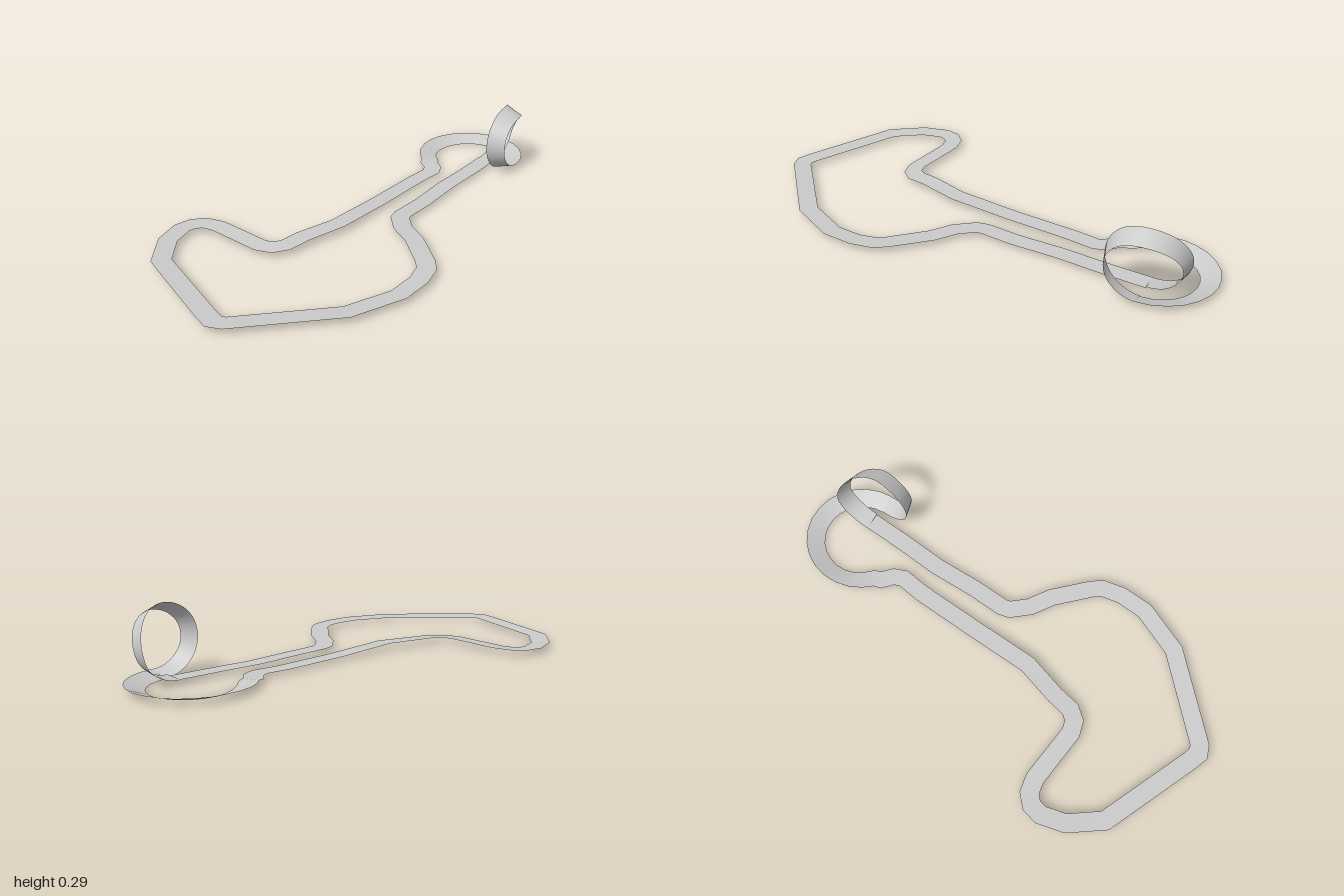
import * as THREE from 'three';

const { smoothstep, lerp } = THREE.MathUtils;
const HALF_WIDTH = 0.038;
const material = new THREE.MeshStandardMaterial({ color: 0xcccccc, side: THREE.DoubleSide });

// Ribbon surface between two edges given as equally long lists of points
function ribbon(name, left, right) {
  const positions = [], index = [];
  left.forEach((l, i) => {
    positions.push(...l.toArray(), ...right[i].toArray());
    if (i === 0) return;
    const a = 2 * i - 2;
    index.push(a, a + 1, a + 2, a + 1, a + 3, a + 2);
  });
  const geometry = new THREE.BufferGeometry();
  geometry.setAttribute('position', new THREE.Float32BufferAttribute(positions, 3));
  geometry.setIndex(index);
  geometry.computeVertexNormals();
  const mesh = new THREE.Mesh(geometry, material);
  mesh.name = name;
  return mesh;
}

// Mitred road edges around centre points { x, z, y, bank }; banking lowers the right edge
function roadEdges(points) {
  const left = [], right = [];
  const direction = (a, b) => new THREE.Vector2(b.x - a.x, b.z - a.z).normalize();
  points.forEach((p, i) => {
    const before = direction(points[Math.max(i - 1, 0)], points[Math.max(i, 1)]);
    const after = i < points.length - 1 ? direction(p, points[i + 1]) : before;
    const d = before.clone().add(after).normalize();
    const w = HALF_WIDTH / Math.max(0.8, d.dot(after));
    left.push(new THREE.Vector3(p.x + d.y * w, p.y, p.z - d.x * w));
    right.push(new THREE.Vector3(p.x - d.y * w, p.y - p.bank, p.z + d.x * w));
  });
  return { left, right };
}

// Gently rolling ground with a low crest on the back straight
function groundPoint([x, z]) {
  const crest = Math.abs(z) < 0.08 ? 0.007 * Math.exp(-(((x + 0.25) / 0.18) ** 2)) : 0;
  const y = 0.03 - 0.009 * smoothstep(x, -0.3, 0.3) + 0.005 * smoothstep(x, 0.4, 0.8) + crest;
  return { x, z, y, bank: 0.004 * (1 - smoothstep(x, -0.45, -0.1)) };
}

// Banked bend: most of an ellipse, leaning inwards progressively
function bendPoint(u) {
  const angle = lerp(-2.5, 1.5, u);
  const lean = smoothstep(u, -0.15, 0.3);
  return {
    x: 0.755 + 0.205 * Math.cos(angle),
    z: 0.038 + 0.2 * Math.sin(angle),
    y: lerp(0.024, 0.033, lean),
    bank: 0.027 * lean,
  };
}

// One edge of the vertical loop, drifting sideways on the way down
function loopEdge({ x, y, rx, ry, z, drift, lift }) {
  return Array.from({ length: 49 }, (_, i) => {
    const t = i / 48, angle = t * Math.PI * 2;
    return new THREE.Vector3(
      x - rx * Math.sin(angle),
      y - ry * Math.cos(angle) + lift * smoothstep(t, 0.8, 1),
      z - drift * smoothstep(t, 0.47, 0.8),
    );
  });
}

export function createModel() {
  const group = new THREE.Group();
  group.name = 'raceTrack';

  // Flat circuit from the loop exit to the start of the bend
  const circuit = [
    [0.77, 0.13], [0.58, 0.13], [0.40, 0.125], [0.20, 0.137], [0.06, 0.135], [0.025, 0.145],
    [-0.04, 0.207], [-0.09, 0.295], [-0.21, 0.43], [-0.25, 0.46], [-0.33, 0.48], [-0.45, 0.478],
    [-0.645, 0.40], [-0.945, 0.115], [-0.96, 0.08], [-0.945, 0.03], [-0.80, -0.365],
    [-0.68, -0.465], [-0.58, -0.495], [-0.53, -0.485], [-0.495, -0.45], [-0.48, -0.39],
    [-0.492, -0.15], [-0.475, -0.10], [-0.435, -0.07], [-0.35, -0.058], [-0.18, -0.015],
    [0.10, -0.015], [0.38, -0.015], [0.485, -0.006], [0.525, -0.025], [0.56, -0.07],
  ].map(groundPoint);
  const bend = Array.from({ length: 17 }, (_, i) => bendPoint(i / 16));
  const road = roadEdges([...circuit, ...bend]);

  // Vertical loop joins the end of the bend to the start of the straight
  const front = loopEdge({ x: 0.775, y: 0.146, rx: 0.131, ry: 0.114, z: 0.275, drift: 0.106, lift: 0 });
  const back = loopEdge({ x: 0.765, y: 0.153, rx: 0.15, ry: 0.144, z: 0.2, drift: 0.109, lift: 0.016 });

  group.add(
    ribbon('circuitRoad', road.left, road.right),
    ribbon('loopRoad', [road.left.at(-1), ...front, road.left[0]], [road.right.at(-1), ...back, road.right[0]]),
  );
  return group;
}
